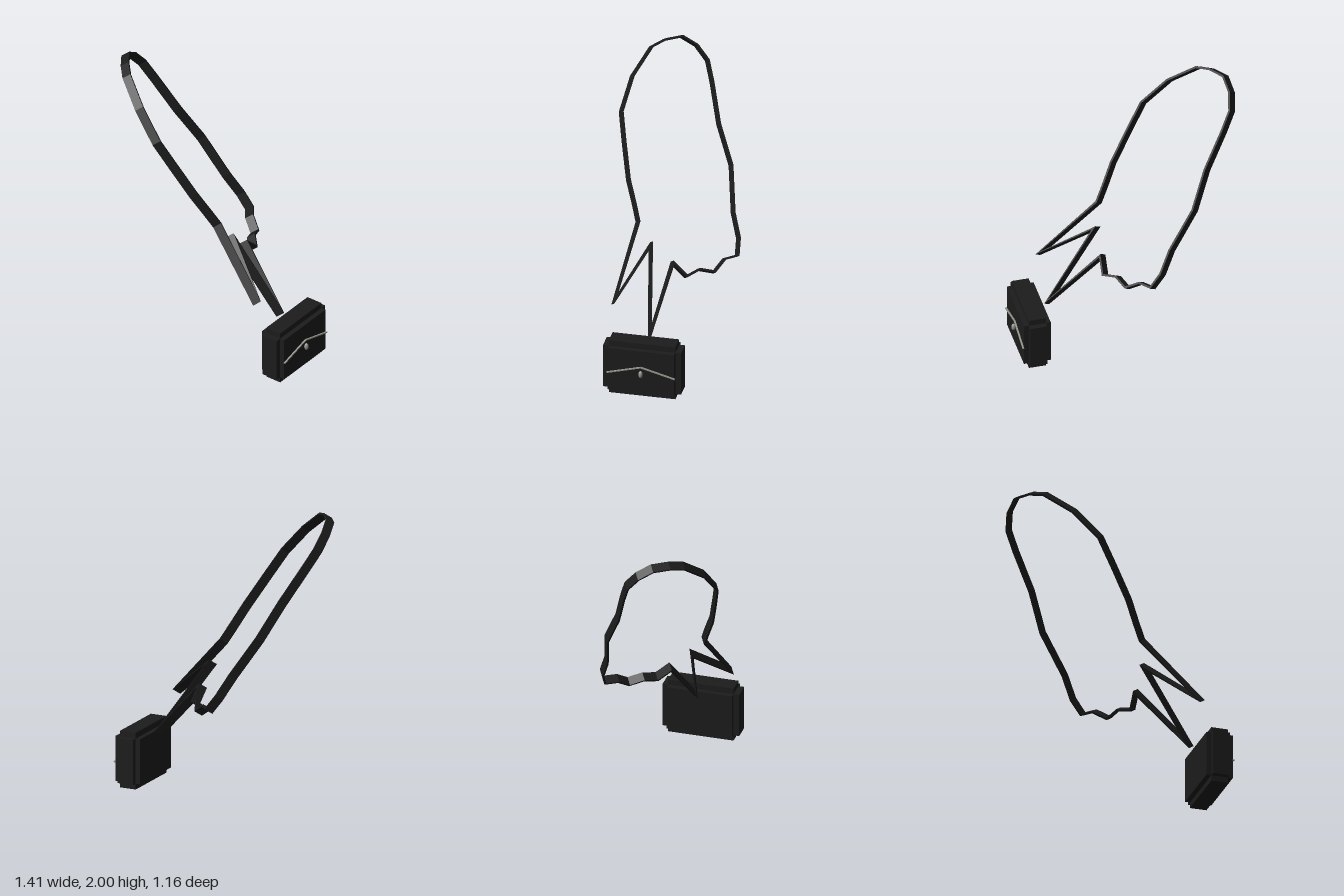
import * as THREE from 'three';

const black = new THREE.MeshStandardMaterial({ color: 0x1c1c1c });
black.name = 'black leather';
const silver = new THREE.MeshStandardMaterial({ color: 0x96968c });
silver.name = 'silver trim';

function addMesh(parent, name, geometry, material, x = 0, y = 0, z = 0) {
  const mesh = new THREE.Mesh(geometry, material);
  mesh.name = name;
  mesh.position.set(x, y, z);
  parent.add(mesh);
  return mesh;
}

// Strap path as [z, y]; every point lies on one slanted plane
const PATH = [
  [0.24, 0.36], [0.10, 0.86], [0.44, 0.585], [0.155, 1.0], [0.155, 1.1], [0.16, 1.24],
  [0.135, 1.45], [0.11, 1.625], [-0.02, 1.81], [-0.195, 1.95], [-0.3, 1.975], [-0.42, 1.975],
  [-0.51, 1.91], [-0.565, 1.815], [-0.565, 1.69], [-0.55, 1.45], [-0.575, 1.21], [-0.52, 0.945],
  [-0.52, 0.8], [-0.485, 0.705], [-0.39, 0.7], [-0.3, 0.64], [-0.2, 0.67], [-0.1, 0.645],
  [-0.025, 0.735],
];

// Closed flat ribbon: a rectangular section mitred round the path
function strapGeometry(halfWidth, halfThick) {
  const slope = -0.653;
  const across = new THREE.Vector3(1, -slope, 0).normalize();
  const pts = PATH.map(([z, y]) => new THREE.Vector3(0.355 + slope * (y - 0.4), y, z));
  const n = pts.length;
  const sideOf = (a, b) => across.clone().cross(b.clone().sub(a).normalize());
  const pos = [], index = [];
  pts.forEach((p, i) => {
    const s0 = sideOf(pts[(i + n - 1) % n], p);
    const s1 = sideOf(p, pts[(i + 1) % n]);
    const side = s0.clone().add(s1).normalize();
    const miter = halfThick / Math.max(side.dot(s1), 0.35);
    for (const [t, w] of [[-1, -1], [1, -1], [1, 1], [-1, 1]]) {
      const c = p.clone().addScaledVector(side, t * miter).addScaledVector(across, w * halfWidth);
      pos.push(c.x, c.y, c.z);
    }
    for (let k = 0; k < 4; k++) {
      const j = (i + 1) % n, l = (k + 1) % 4;
      const a = i * 4 + k, b = i * 4 + l, c = j * 4 + l, d = j * 4 + k;
      index.push(a, b, c, a, c, d);
    }
  });
  const g = new THREE.BufferGeometry();
  g.setAttribute('position', new THREE.Float32BufferAttribute(pos, 3));
  g.setIndex(index);
  const flat = g.toNonIndexed();
  flat.computeVertexNormals();
  return flat;
}

export function createModel() {
  const model = new THREE.Group();
  model.name = 'handbag';

  // Bag body, turned to face front-left: three crossing slabs give the stepped edges
  const bag = new THREE.Group();
  bag.name = 'bag';
  bag.position.set(0.485, 0, 0.325);
  bag.rotation.y = 0.961;
  model.add(bag);
  addMesh(bag, 'bodyFrontBack', new THREE.BoxGeometry(0.458, 0.315, 0.186), black, 0, 0.198, 0);
  addMesh(bag, 'bodySides', new THREE.BoxGeometry(0.537, 0.315, 0.117), black, 0, 0.198, 0);
  addMesh(bag, 'bodyTopBottom', new THREE.BoxGeometry(0.458, 0.396, 0.117), black, 0, 0.198, 0);

  // Chevron trim along the flap edge
  for (const s of [-1, 1]) {
    const trim = addMesh(bag, s > 0 ? 'flapTrimLeft' : 'flapTrimRight',
      new THREE.BoxGeometry(0.242, 0.008, 0.012), silver, s * 0.117, 0.205, 0.098);
    trim.rotation.z = -s * 0.262;
  }

  // Oval clasp
  const clasp = addMesh(bag, 'clasp', new THREE.SphereGeometry(1, 20, 14), silver, 0, 0.187, 0.106);
  clasp.scale.set(0.015, 0.025, 0.015);

  // Shoulder strap
  addMesh(model, 'strap', strapGeometry(0.031, 0.007), black);
  return model;
}
